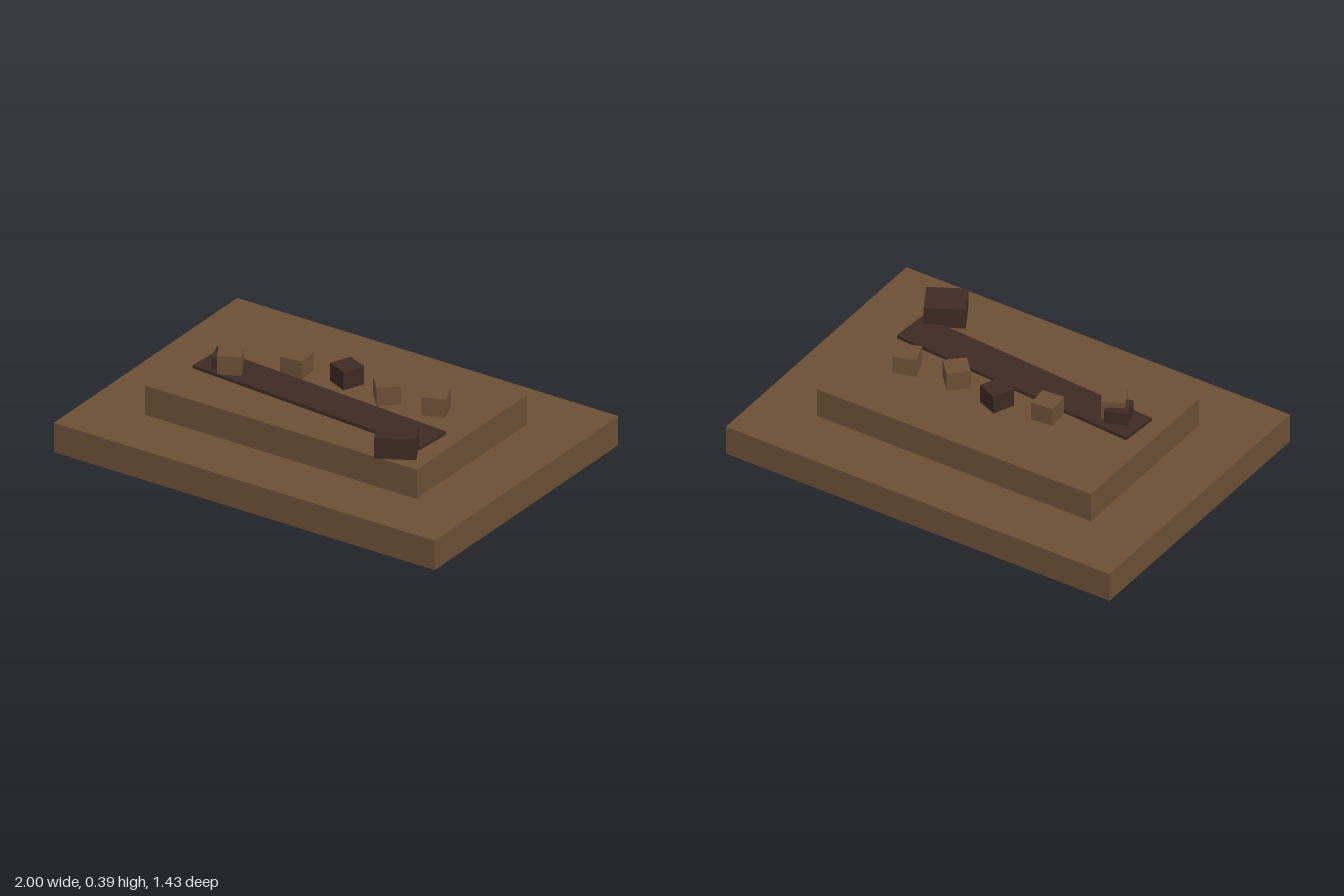
import * as THREE from 'three';

export function createModel() {
  const model = new THREE.Group();
  const brown = new THREE.MeshStandardMaterial({ color: 0x6b4f35 });
  brown.name = 'brown';
  const darkBrown = new THREE.MeshStandardMaterial({ color: 0x3e2a23 });
  darkBrown.name = 'dark brown';

  // Box standing on height y, turned about the vertical axis
  function block(name, material, [w, h, d], [x, y, z], turn = 0) {
    const mesh = new THREE.Mesh(new THREE.BoxGeometry(w, h, d), material);
    mesh.name = name;
    mesh.position.set(x, y + h / 2, z);
    mesh.rotation.y = turn;
    model.add(mesh);
  }

  // Stepped platform
  const step = 0.143, floor = 2 * step;
  block('lowerStep', brown, [2, step, 1.428], [0, 0, 0]);
  block('upperStep', brown, [1.428, step, 0.856], [0, step, 0]);

  // Fallen plank across the upper step
  block('plank', darkBrown, [1.256, 0.016, 0.184], [0, floor, 0.129], -0.07);

  // Row of small loose blocks behind the plank
  const small = [0.107, 0.089, 0.107];
  [
    [-0.236, -0.045, 0.09, brown],
    [0, -0.087, -0.4, darkBrown],
    [0.234, -0.05, 0.74, brown],
    [0.472, -0.08, 0.35, brown],
  ].forEach(([x, z, turn, material], i) =>
    block('looseBlock' + (i + 1), material, small, [x, floor, z], turn));

  // Two overlapping blocks at the right end of the plank
  block('plankBlockLower', darkBrown, [0.107, 0.078, 0.107], [-0.51, floor, 0.101], 0.35);
  block('plankBlockUpper', brown, small, [-0.473, 0.303, 0.122], 0.51);

  // Large block by the left end of the plank
  block('largeBlock', darkBrown, [0.184, 0.101, 0.159], [0.541, floor, 0.33], 0.51);

  return model;
}
